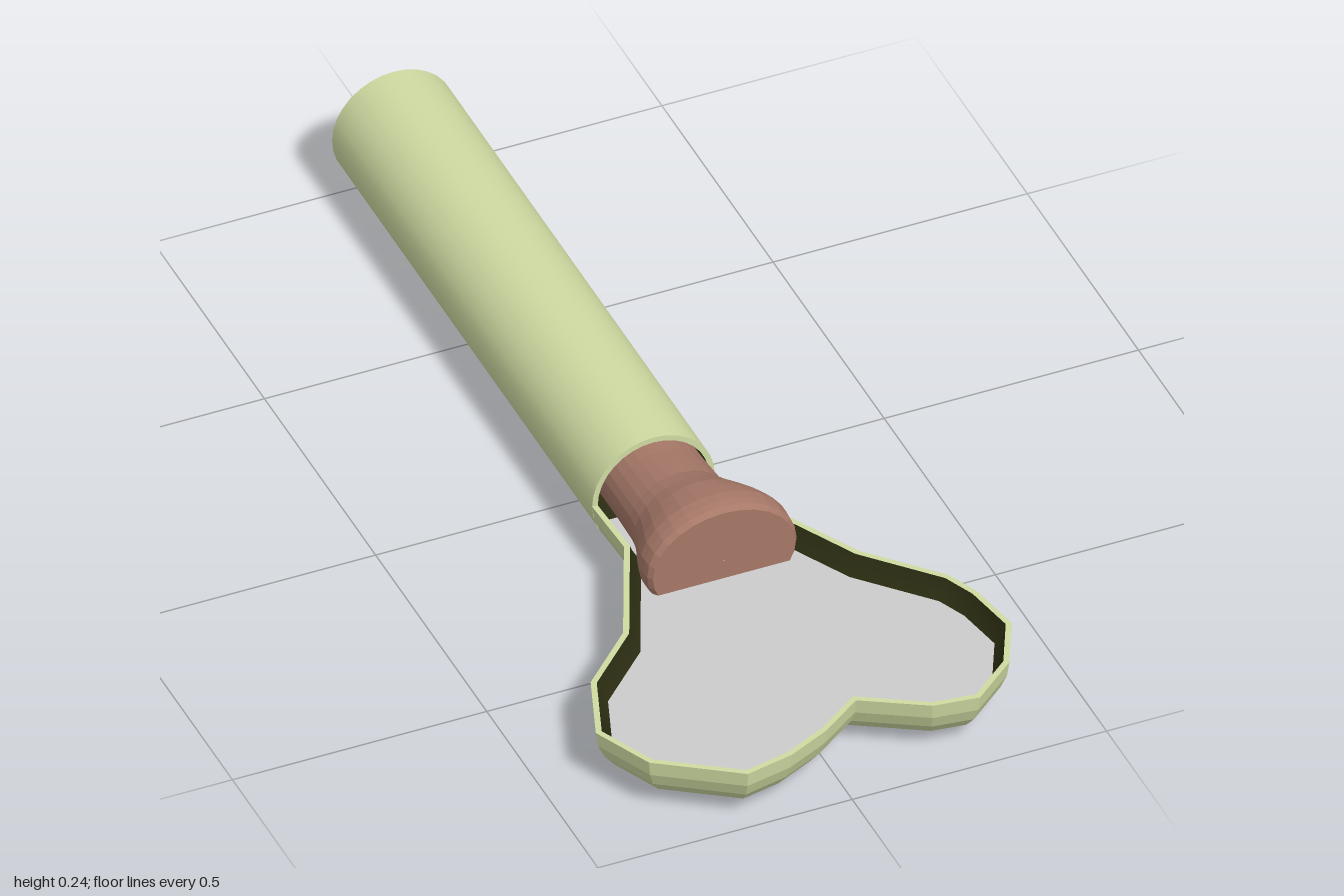
import * as THREE from 'three';

const CUT = 0.1245, R = 0.1205, CX = -0.028, NECK_Z = 0.17;

const material = (color, flatShading = false) =>
  new THREE.MeshStandardMaterial({ color, flatShading, side: THREE.DoubleSide });

// Surface through rows of equally many [x, y, z] points
function loft(rows, closed = false) {
  const n = rows[0].length, index = [];
  for (let i = 0; i < rows.length - 1; i++) {
    for (let j = 0; j < (closed ? n : n - 1); j++) {
      const k = (j + 1) % n, a = i * n + j, b = i * n + k;
      index.push(a, b, a + n, b, b + n, a + n);
    }
  }
  const g = new THREE.BufferGeometry();
  g.setAttribute('position', new THREE.Float32BufferAttribute(rows.flat(2), 3));
  g.setIndex(index);
  g.computeVertexNormals();
  return g;
}

// Outline of the two-lobed end (x, z), from the left of the neck round to the right
const OUTLINE = [
  [CX - R, NECK_Z], [-0.143, 0.3], [-0.245, 0.53], [-0.357, 0.64], [-0.408, 0.78],
  [-0.355, 0.898], [-0.205, 1], [-0.11, 0.98], [-0.025, 0.94], [0.06, 0.88],
  [0.18, 0.95], [0.268, 0.962], [0.358, 0.888], [0.408, 0.785], [0.388, 0.675],
  [0.36, 0.61], [0.24, 0.48], [0.155, 0.32], [CX + R, NECK_Z],
];

// Outline moved inwards by d; the two neck ends slide along x only
function inset(d) {
  const normal = (p, q) => {
    const l = Math.hypot(q[0] - p[0], q[1] - p[1]);
    return [(q[1] - p[1]) / l, (p[0] - q[0]) / l];
  };
  return OUTLINE.map((p, i) => {
    if (i === 0) return [p[0] + d, p[1]];
    if (i === OUTLINE.length - 1) return [p[0] - d, p[1]];
    const a = normal(OUTLINE[i - 1], p), b = normal(p, OUTLINE[i + 1]);
    const s = d / (1 + a[0] * b[0] + a[1] * b[1]);
    return [p[0] + (a[0] + b[0]) * s, p[1] + (a[1] + b[1]) * s];
  });
}

const row = (d, y) => inset(d).map(([x, z]) => [x, y, z]);

// Flat horizontal sheet filling the inset outline
function sheet(d, y) {
  const shape = new THREE.Shape(inset(d).map(([x, z]) => new THREE.Vector2(x, z)));
  return new THREE.ShapeGeometry(shape).rotateX(Math.PI / 2).translate(0, y, 0);
}

export function createModel() {
  const model = new THREE.Group();
  const green = material(0xcfdba2), greenFlat = material(0xcfdba2, true);
  const dark = material(0x2c2d12), brown = material(0xa67868, true), grey = material(0xcccccc);

  const add = (parent, name, geometry, mat) => {
    const mesh = new THREE.Mesh(geometry, mat);
    mesh.name = name;
    parent.add(mesh);
  };

  // Halved end of the bone: rounded outer shell, rim, dark inner wall, grey floor
  const head = new THREE.Group();
  head.name = 'boneEnd';
  model.add(head);
  const wall = 0.011, floorInset = 0.031, floorY = 0.085;
  const shellRows = Array.from({ length: 7 }, (_, i) => {
    const a = Math.PI / 2 * i / 6;
    return row(R * (1 - Math.cos(a)), CUT - R * Math.sin(a));
  });
  add(head, 'outerShell', loft(shellRows), greenFlat);
  add(head, 'underside', sheet(R - 0.001, CUT - R), greenFlat);
  add(head, 'cutRim', loft([row(0, CUT), row(wall, CUT)]), green);
  add(head, 'innerWall', loft([row(wall, CUT), row(0.018, 0.105), row(floorInset, floorY)]), dark);
  add(head, 'floor', sheet(floorInset, floorY), grey);

  // Hollow shaft running back from the neck
  const shaft = new THREE.Group();
  shaft.name = 'shaft';
  shaft.position.set(CX, CUT, 0);
  model.add(shaft);
  const inner = R - wall;
  const tube = (r, z0, z1) => new THREE.CylinderGeometry(r, r, z1 - z0, 32, 1, true)
    .rotateX(Math.PI / 2).translate(0, 0, (z0 + z1) / 2);
  add(shaft, 'outerTube', tube(R, -1, NECK_Z), green);
  add(shaft, 'innerTube', tube(inner, -0.98, NECK_Z), dark);
  add(shaft, 'frontRing', new THREE.RingGeometry(inner, R, 32).translate(0, 0, NECK_Z), green);

  // Back cap with a thin crescent slit near its lower edge
  const cap = new THREE.Shape().absarc(0, 0, R, 0, Math.PI * 2);
  const slit = new THREE.Path();
  slit.moveTo(0.096, -0.03);
  slit.quadraticCurveTo(0.083, -0.085, 0.024, -0.094);
  slit.quadraticCurveTo(0.052, -0.058, 0.096, -0.03);
  cap.holes.push(slit);
  add(shaft, 'backCap', new THREE.ShapeGeometry(cap, 16).translate(0, 0, -1), green);
  add(shaft, 'slitBacking', new THREE.CircleGeometry(inner, 32).translate(0, 0, -0.98), dark);

  // Marrow plug: elliptical sections [z, centre x, half width, centre y, half height]
  const sections = [
    [0.05, -0.016, 0.094, 0.125, 0.085], [0.17, -0.014, 0.096, 0.125, 0.086],
    [0.25, -0.012, 0.099, 0.125, 0.092], [0.28, -0.006, 0.108, 0.122, 0.103],
    [0.31, 0, 0.123, 0.119, 0.1165], [0.34, 0.005, 0.14, 0.123, 0.118],
    [0.365, 0.006, 0.148, 0.125, 0.12], [0.385, 0.006, 0.148, 0.125, 0.119],
    [0.4, 0.006, 0.147, 0.125, 0.116], [0.41, 0.006, 0.14, 0.125, 0.108],
    [0.41, 0.006, 0.001, 0.125, 0.001],
  ];
  const rings = sections.map(([z, cx, rx, cy, ry]) => Array.from({ length: 28 }, (_, i) => {
    const a = i / 28 * Math.PI * 2;
    return [cx + rx * Math.cos(a), cy + ry * Math.sin(a), z];
  }));
  add(model, 'marrow', loft(rings, true), brown);

  return model;
}
